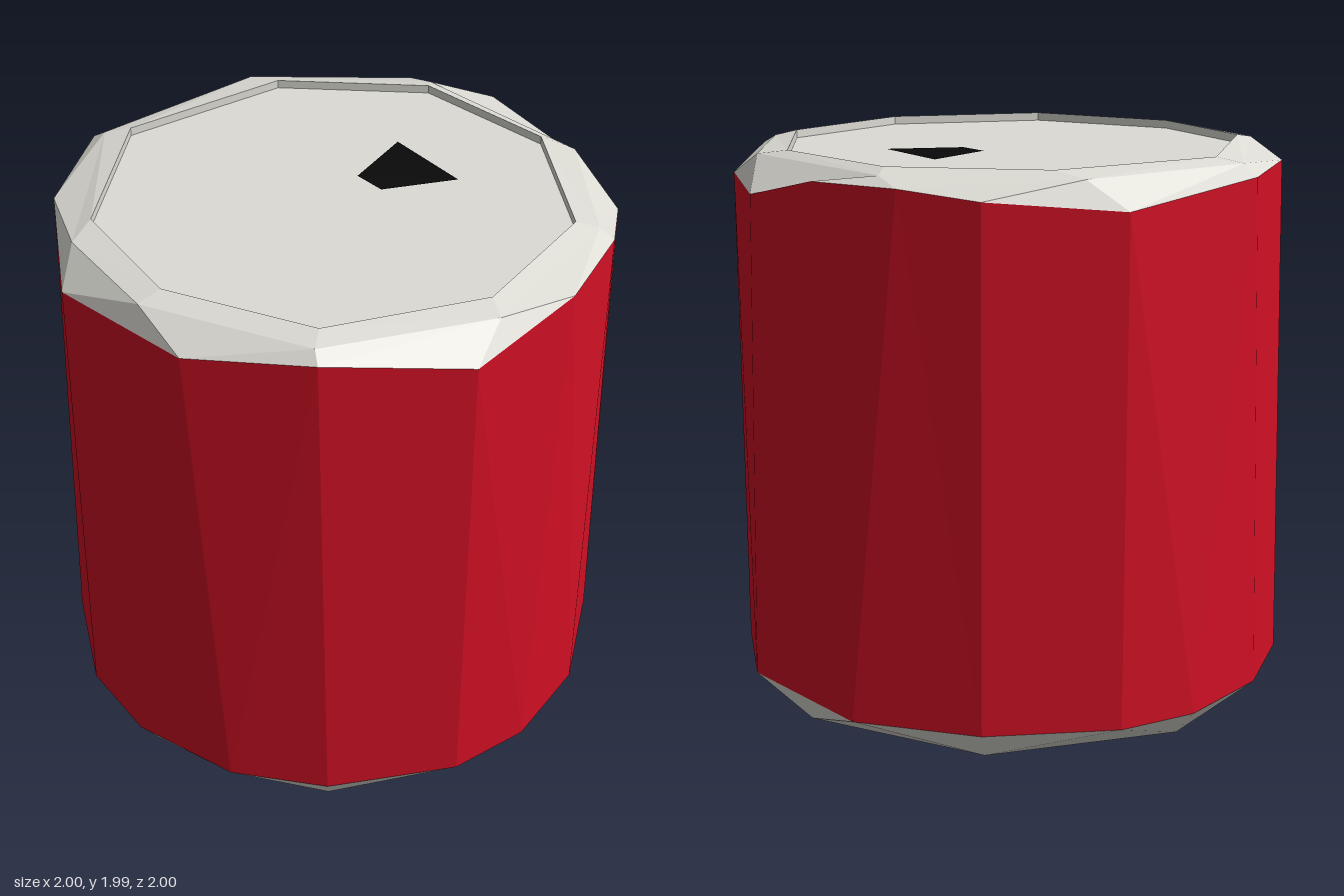
import * as THREE from 'three';

const angle = (p) => Math.atan2(p.z, p.x);

// Closed ring of [x, z, y?] points, sorted around the y axis
function ring(points, y) {
  return points
    .map(([x, z, py = y]) => new THREE.Vector3(x, py, z))
    .sort((a, b) => angle(a) - angle(b));
}

// Regular ring with a start angle in degrees
function evenRing(count, radius, start, y) {
  const points = [];
  for (let i = 0; i < count; i++) {
    const t = THREE.MathUtils.degToRad(start) + (i / count) * Math.PI * 2;
    points.push([Math.cos(t) * radius, Math.sin(t) * radius]);
  }
  return ring(points, y);
}

// Stitches neighbouring rings, which may have different numbers of points
function stitch(rings) {
  const tris = [];
  const next = (r, i) => (r.length === 1 || i >= r.length ? Infinity
    : angle(r[(i + 1) % r.length]) + (i + 1 === r.length ? Math.PI * 2 : 0));
  for (let k = 0; k < rings.length - 1; k++) {
    const a = rings[k], b = rings[k + 1];
    const at = (r, i) => r[i % r.length];
    let i = 0, j = 0;
    while (next(a, i) < Infinity || next(b, j) < Infinity) {
      if (next(a, i) < next(b, j)) {
        tris.push(at(a, i), at(b, j), at(a, i + 1));
        i++;
      } else {
        tris.push(at(a, i), at(b, j), at(b, j + 1));
        j++;
      }
    }
  }
  return new THREE.BufferGeometry().setFromPoints(tris);
}

export function createModel() {
  const group = new THREE.Group();
  const add = (name, geometry, color) => {
    geometry.computeVertexNormals();
    const material = new THREE.MeshStandardMaterial({ color, flatShading: true });
    const mesh = new THREE.Mesh(geometry, material);
    mesh.name = name;
    group.add(mesh);
  };
  const metal = 0xdcdbd4;

  // Uneven edges where the painted wall meets the metal ends
  const wallTop = ring([
    [0, 1, 1.87], [0.43, 0.87, 1.94], [0.73, 0.64, 1.94], [0.92, 0.38, 1.87],
    [0.995, -0.1, 1.86], [0.88, -0.42, 1.94], [0.68, -0.69, 1.94], [0.46, -0.87, 1.91],
    [0, -1, 1.87], [-0.55, -0.83, 1.93], [-0.84, -0.48, 1.93], [-1, 0, 1.87],
    [-0.82, 0.55, 1.89], [-0.48, 0.84, 1.93],
  ]);
  const wallBottom = ring([
    [0, 0.985], [0.3, 0.94], [0.62, 0.76], [0.9, 0.42], [0.995, 0], [0.82, -0.57],
    [0.46, -0.86], [0, -0.985], [-0.29, -0.95], [-0.63, -0.76], [-0.88, -0.46],
    [-0.985, -0.05], [-0.94, 0.28], [-0.74, 0.64], [-0.46, 0.86],
  ], 0.1);
  add('canWall', stitch([wallBottom, wallTop]), 0xd01024);

  // Bottom end: recessed floor, foot ring and bevel
  add('base', stitch([
    ring([[0, 0]], 0.13),
    evenRing(8, 0.7, 29, 0.13),
    evenRing(8, 0.72, 29, 0.005),
    evenRing(8, 0.91, 28, 0.005),
    wallBottom,
  ]), metal);

  // Top rim: bevel, crest and short inner wall down to the lid
  const crestPoints = [
    [-0.45, -0.72], [0.18, -0.81], [0.66, -0.52], [0.83, 0], [0.63, 0.55],
    [0.15, 0.82], [-0.42, 0.73], [-0.77, 0.3], [-0.81, -0.2],
  ];
  const crest = ring(crestPoints, 1.99);
  const lidEdge = ring(crestPoints, 1.96);
  const shoulder = ring([
    [0.12, -0.92], [0.7, -0.58], [0.91, 0.1], [0.7, 0.59], [0.13, 0.91],
    [-0.47, 0.8], [-0.86, 0.32], [-0.91, -0.12], [-0.53, -0.77],
  ], 1.97);
  add('topRim', stitch([wallTop, shoulder, crest, lidEdge]), metal);
  add('lid', stitch([lidEdge, ring([[0, 0]], 1.96)]), metal);

  // Dark drinking opening on the lid
  const opening = new THREE.Shape([
    [0.14, 0.09], [0.17, -0.03], [0.44, -0.09], [0.38, 0.24],
  ].map(([x, y]) => new THREE.Vector2(x, y)));
  const openingGeometry = new THREE.ShapeGeometry(opening);
  openingGeometry.rotateX(-Math.PI / 2).translate(0, 1.964, 0);
  add('opening', openingGeometry, 0x0a0a0a);

  return group;
}
